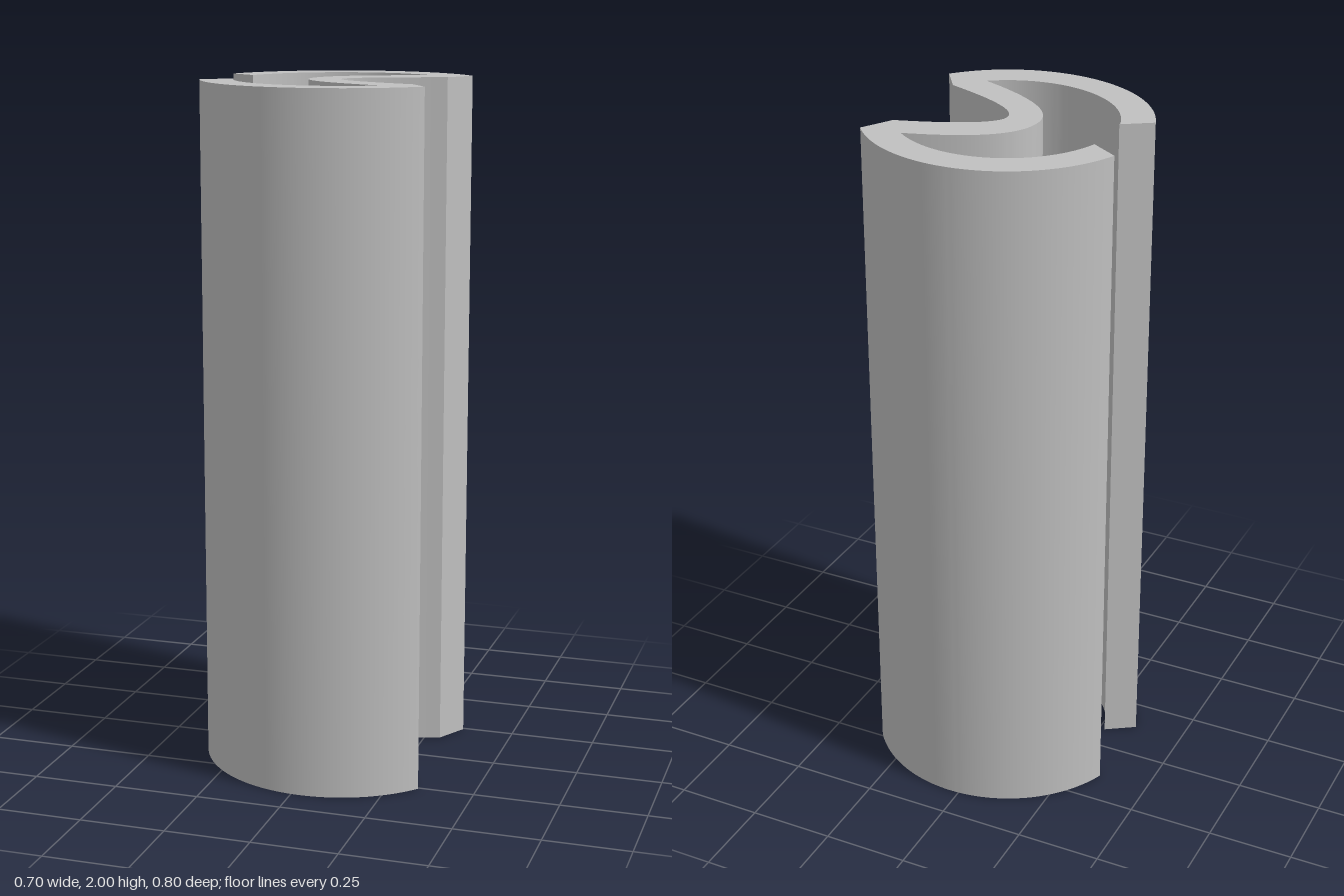
import * as THREE from 'three';
import { toCreasedNormals } from 'three/addons/utils/BufferGeometryUtils.js';

const CX = 0.027, OUTER = 0.402, INNER = 0.308, HEIGHT = 2;

export function createModel() {
  const group = new THREE.Group();
  group.name = 'extrudedChannel';
  const grey = new THREE.MeshStandardMaterial({ color: 0xc0c0c0 });
  grey.name = 'plain grey';

  // Cross-section outline; shape y points to the back (-z)
  const s = new THREE.Shape();
  const angle = (x, y) => Math.atan2(y, x - CX);
  const arc = (r, from, to, clockwise) =>
    s.absarc(CX, 0, r, angle(...from), angle(...to), clockwise);

  // Back arm, outer wall
  arc(OUTER, [-0.35, 0.14], [0.347, 0.243], true);
  // Concave face of the central fold
  s.lineTo(0.296, 0.153);
  s.bezierCurveTo(0.13, 0.105, 0.028, 0.05, 0.028, 0);
  s.bezierCurveTo(0.028, -0.06, 0.13, -0.115, 0.282, -0.172);
  // Front arm, outer wall then inner wall
  s.lineTo(0.337, -0.255);
  arc(OUTER, [0.337, -0.255], [-0.35, -0.136], true);
  s.lineTo(-0.268, -0.082);
  arc(INNER, [-0.268, -0.082], [0.212, -0.245], false);
  // Convex face of the central fold
  s.bezierCurveTo(0.05, -0.18, -0.066, -0.1, -0.066, 0);
  s.bezierCurveTo(-0.066, 0.11, 0.04, 0.18, 0.231, 0.232);
  // Back arm, inner wall
  arc(INNER, [0.231, 0.232], [-0.268, 0.085], false);
  s.closePath();

  // Stand the section upright with smooth curved walls and sharp corners
  const extruded = new THREE.ExtrudeGeometry(s, {
    depth: HEIGHT, bevelEnabled: false, curveSegments: 32,
  });
  extruded.rotateX(-Math.PI / 2);
  const mesh = new THREE.Mesh(toCreasedNormals(extruded, 0.45), grey);
  mesh.name = 'foldedChannelWall';
  group.add(mesh);
  return group;
}
